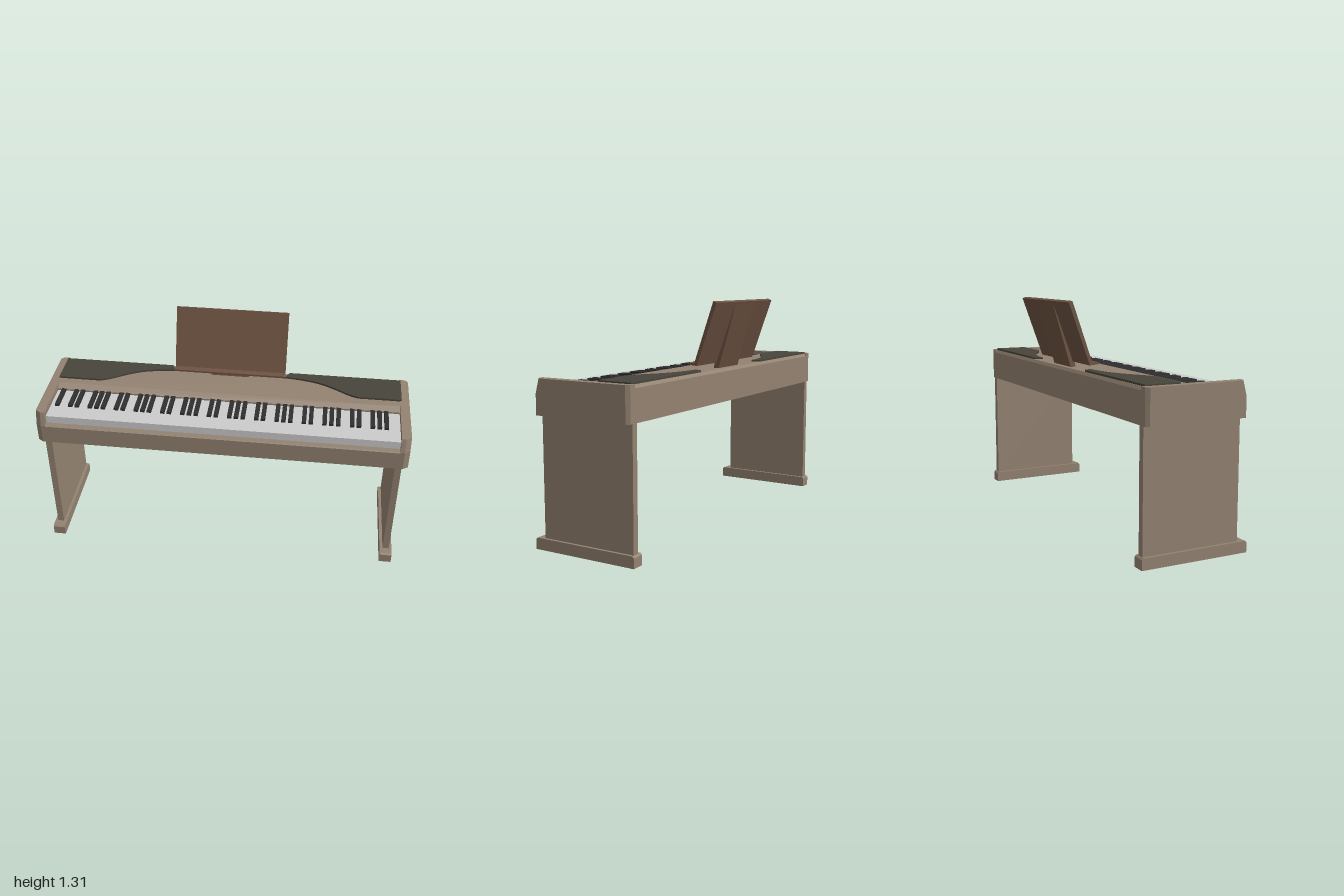
import * as THREE from 'three';

const material = (color) => new THREE.MeshStandardMaterial({ color, flatShading: true });
const wood = material(0x938271);
const standWood = material(0x6e5342);
const speakerCloth = material(0x48453b);
const ebony = material(0x302f30);
const ivory = material(0xcccccc);

const toShape = (points) => new THREE.Shape(points.map(([x, y]) => new THREE.Vector2(x, y)));

// Side profile of [z, y] points, swept along x about the middle
function sweep(points, width) {
  return new THREE.ExtrudeGeometry(toShape(points), { depth: width, bevelEnabled: false })
    .translate(0, 0, -width / 2)
    .rotateY(-Math.PI / 2);
}

// Floor-plan shape (x, -z), raised from y0 to y1
function raise(shape, y0, y1, steps = 1) {
  return new THREE.ExtrudeGeometry(shape, { depth: y1 - y0, steps, bevelEnabled: false, curveSegments: 10 })
    .rotateX(-Math.PI / 2)
    .translate(0, y0, 0);
}

// Box from its limits
function block(x0, x1, y0, y1, z0, z1) {
  return new THREE.BoxGeometry(x1 - x0, y1 - y0, z1 - z0)
    .translate((x0 + x1) / 2, (y0 + y1) / 2, (z0 + z1) / 2);
}

// End cheek: chamfered plan corners, front face leaning back above the key rail
function cheek(side) {
  const plan = [
    [1.02, -0.305], [1.06, -0.305], [1.075, -0.285],
    [1.075, 0.285], [1.045, 0.305], [1.02, 0.305],
  ].map(([x, z]) => [side * x, -z]);
  const geometry = raise(toShape(plan), 0.73, 0.925, 2);
  const p = geometry.attributes.position;
  for (let i = 0; i < p.count; i++) {
    const y = p.getY(i);
    if (y > 0.9) {
      if (p.getZ(i) > 0.2) p.setZ(i, p.getZ(i) - 0.022);
    } else if (y > 0.8) p.setY(i, 0.845);
  }
  geometry.computeVertexNormals();
  return geometry;
}

// Speaker panel: straight outside, S-curved towards the music stand
function speaker(side) {
  const s = new THREE.Shape();
  s.moveTo(side * 0.36, 0.288);
  s.lineTo(side * 1.03, 0.288);
  s.lineTo(side * 1.03, 0.083);
  s.lineTo(side * 0.775, 0.083);
  s.bezierCurveTo(side * 0.67, 0.115, side * 0.62, 0.2, side * 0.45, 0.228);
  s.quadraticCurveTo(side * 0.39, 0.24, side * 0.335, 0.242);
  return raise(s, 0.92, 0.933);
}

// Foot: block with a slightly chamfered top
function foot(side) {
  const profile = [
    [-0.316, 0], [0.321, 0], [0.321, 0.055], [0.312, 0.064], [-0.307, 0.064], [-0.316, 0.055],
  ];
  return sweep(profile, 0.073).translate(side * 1.0235, 0, 0);
}

export function createModel() {
  const model = new THREE.Group();
  const piano = new THREE.Group();
  piano.name = 'piano';
  piano.rotation.y = THREE.MathUtils.degToRad(-47.5);
  model.add(piano);

  const add = (name, geometry, mat, parent = piano) => {
    const mesh = new THREE.Mesh(geometry, mat);
    mesh.name = name;
    parent.add(mesh);
    return mesh;
  };

  // Case: key bed, front rail and raised control deck in one profile
  add('case', sweep([
    [-0.305, 0.73], [0.305, 0.73], [0.305, 0.84], [0.298, 0.847], [0.272, 0.847],
    [0.27, 0.82], [0, 0.82], [0, 0.9], [-0.035, 0.922], [-0.292, 0.922], [-0.305, 0.905],
  ], 2.04), wood);

  // Ends, legs, feet and speakers
  for (const side of [-1, 1]) {
    const label = side > 0 ? 'left' : 'right';
    add(label + 'Cheek', cheek(side), wood);
    add(label + 'Leg', block(-0.019, 0.019, 0.06, 0.735, -0.304, 0.27).translate(side * 1.024, 0, 0), wood);
    add(label + 'Foot', foot(side), wood);
    add(label + 'Speaker', speaker(side), speakerCloth);
  }

  // Keyboard: 52 white keys from A to C, black keys on the joints
  const keyboard = new THREE.Group();
  keyboard.name = 'keyboard';
  piano.add(keyboard);
  const pitch = 2.04 / 52;
  add('whiteKeys', block(-1.02, 1.02, 0.82, 0.89, 0, 0.268), ivory, keyboard);
  const blackAfter = [true, false, true, true, false, true, true]; // A B C D E F G
  for (let i = 0; i < 51; i++) {
    if (!blackAfter[i % 7]) continue;
    const x = -1.02 + (i + 1) * pitch;
    add('blackKey', block(x - 0.0125, x + 0.0125, 0.88, 0.905, 0, 0.163), ebony, keyboard);
  }

  // Music stand: leaning board, ledge and tapered back brace
  const stand = new THREE.Group();
  stand.name = 'musicStand';
  piano.add(stand);
  add('board', sweep([[-0.226, 0.957], [-0.245, 0.952], [-0.372, 1.304], [-0.35, 1.312]], 0.672), standWood, stand);
  add('ledge', sweep([[-0.19, 0.957], [-0.19, 0.968], [-0.232, 0.968], [-0.245, 0.952]], 0.672), standWood, stand);
  add('brace', sweep([[-0.228, 0.92], [-0.26, 0.92], [-0.37, 1.292], [-0.236, 0.955]], 0.23), standWood, stand);

  return model;
}
